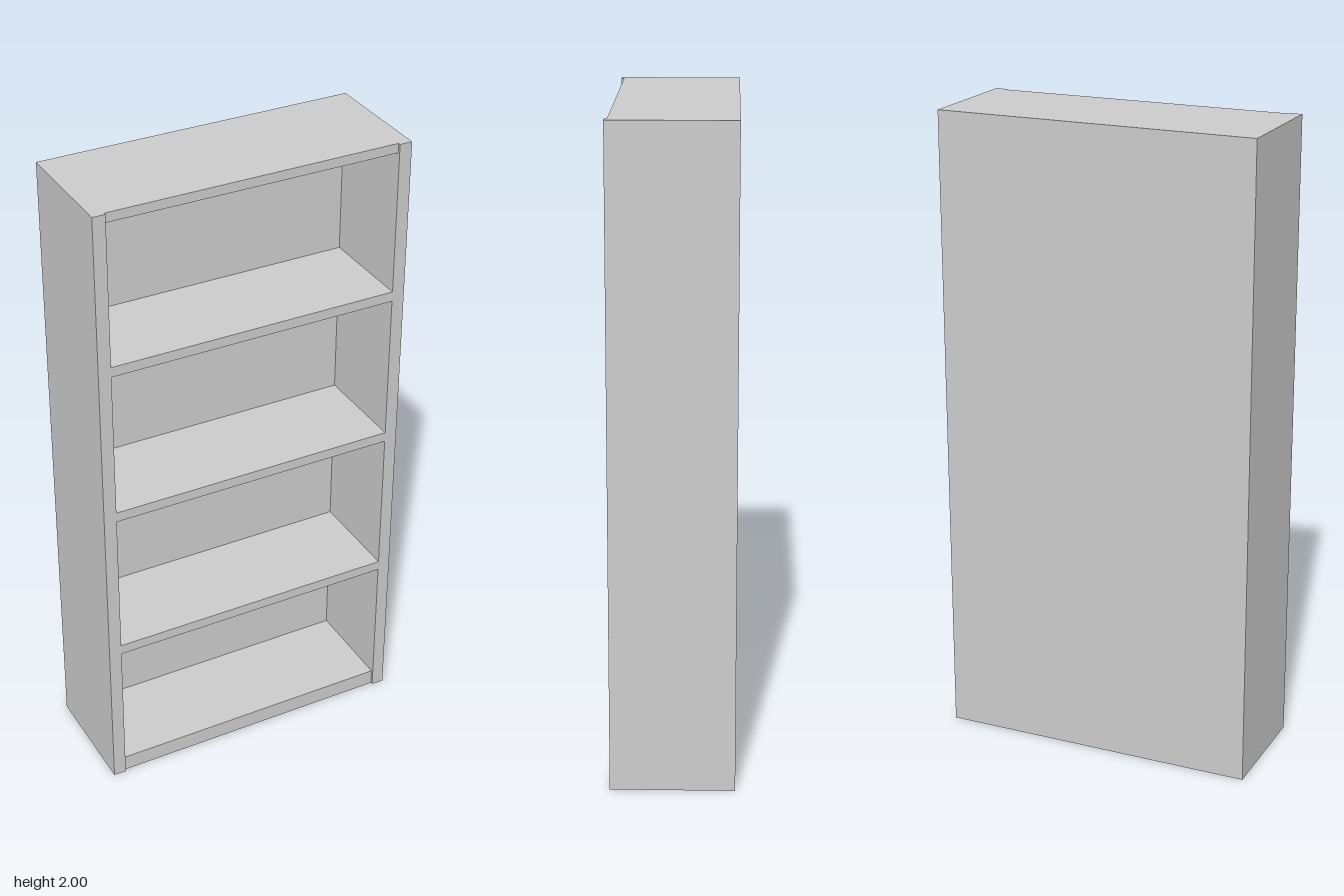
import * as THREE from 'three';

const material = new THREE.MeshStandardMaterial({ color: 0xcccccc, flatShading: true });

// Box given by its lower and upper limits on each axis
function board(name, [x0, x1], [y0, y1], [z0, z1]) {
  const geometry = new THREE.BoxGeometry(x1 - x0, y1 - y0, z1 - z0);
  geometry.translate((x0 + x1) / 2, (y0 + y1) / 2, (z0 + z1) / 2);
  const mesh = new THREE.Mesh(geometry, material);
  mesh.name = name;
  return mesh;
}

export function createModel() {
  const group = new THREE.Group();
  group.name = 'bookcase';

  const halfWidth = 0.5, inner = 0.46, height = 2;
  const back = -0.1875, front = 0.1875, backInner = -0.125, recess = 0.008;

  // Back panel over the full width and height
  group.add(board('backPanel', [-halfWidth, halfWidth], [0, height], [back, backInner]));

  // Side panels
  group.add(board('leftSide', [inner, halfWidth], [0, height], [backInner, front]));
  group.add(board('rightSide', [-halfWidth, -inner], [0, height], [backInner, front]));

  // Top and base, set slightly behind the front of the sides
  group.add(board('topPanel', [-inner, inner], [1.97, height], [backInner, front - recess]));
  group.add(board('basePanel', [-inner, inner], [0, 0.052], [backInner, front - recess]));

  // Three shelves, flush with the sides
  for (const y of [0.502, 1.003, 1.504]) {
    group.add(board('shelf', [-inner, inner], [y - 0.016, y + 0.016], [backInner, front]));
  }
  return group;
}
